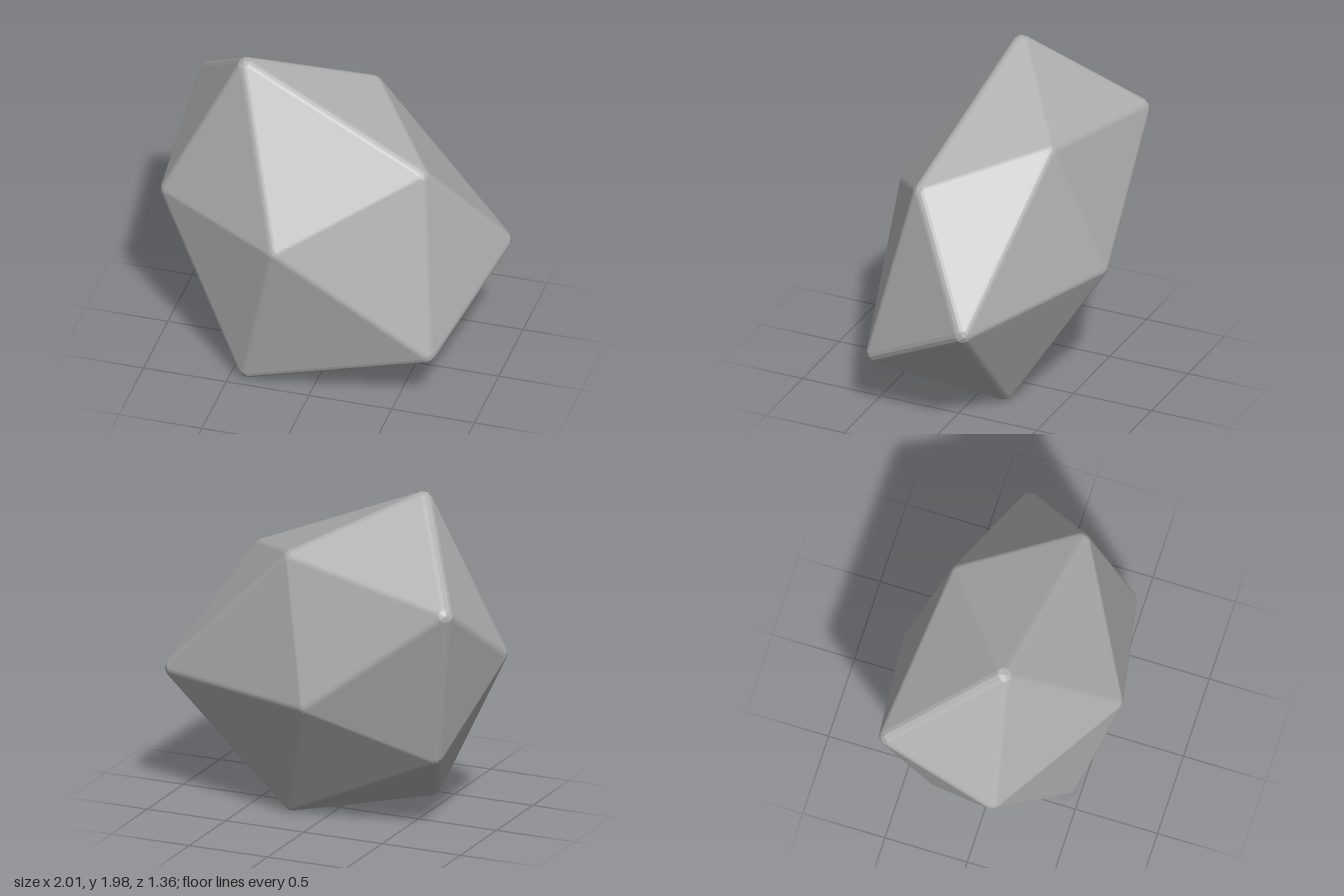
import * as THREE from 'three';
import { ConvexGeometry } from 'three/addons/geometries/ConvexGeometry.js';

const BEVEL = 0.06;   // radius of the worn edges
const STEPS = 3;      // facets across each worn edge

// Twelve corners of the squashed, irregular twenty-sided stone
const CORNERS = [
  [-0.53, 1.97, 0.07], [0.62, 1.47, 0.22], [0.72, 0.36, 0.48], [-0.41, 0.02, 0.45],
  [-1.0, 1.03, 0.15], [-0.17, 1.05, 0.68], [1.0, 0.78, -0.26], [-0.93, 1.46, -0.55],
  [0.13, 1.65, -0.44], [-0.08, 0.81, -0.68], [-0.76, 0.47, -0.3], [0.24, 0.0, -0.18],
].map((c) => new THREE.Vector3(...c));

// Triangles of the convex hull as corner positions plus outward normal
function hullFaces(points) {
  const pos = new ConvexGeometry(points).attributes.position;
  const faces = [];
  for (let i = 0; i < pos.count; i += 3) {
    const v = [0, 1, 2].map((k) => new THREE.Vector3().fromBufferAttribute(pos, i + k));
    const normal = new THREE.Triangle(...v).getNormal(new THREE.Vector3());
    faces.push({ v, normal });
  }
  return faces;
}

// Hull with every edge rounded into a few narrow flat strips
function bevelledHull(corners) {
  // Pull the corners inwards by the bevel radius
  const inner = corners.map((p) => {
    const out = new THREE.Vector3(p.x, p.y - 0.99, p.z * 2).normalize();
    return p.clone().addScaledVector(out, -BEVEL);
  });
  const faces = hullFaces(inner);
  const points = [];
  // Sweep the normal across each edge shared by two faces
  faces.forEach((a, i) => faces.slice(i + 1).forEach((b) => {
    const shared = a.v.filter((p) => b.v.some((q) => q.distanceTo(p) < 1e-5));
    if (shared.length !== 2) return;
    for (let s = 0; s <= STEPS; s++) {
      const n = a.normal.clone().lerp(b.normal, s / STEPS).normalize();
      shared.forEach((p) => points.push(p.clone().addScaledVector(n, BEVEL)));
    }
  }));
  // Tip of each rounded corner
  inner.forEach((p) => {
    const n = new THREE.Vector3();
    faces.forEach((f) => { if (f.v.some((q) => q.distanceTo(p) < 1e-5)) n.add(f.normal); });
    points.push(p.clone().addScaledVector(n.normalize(), BEVEL));
  });
  return new ConvexGeometry(points);
}

export function createModel() {
  const group = new THREE.Group();
  group.name = 'rock';
  const stoneGrey = new THREE.MeshStandardMaterial({ color: 0xb0b0b0 });
  stoneGrey.name = 'stoneGrey';

  const stone = new THREE.Mesh(bevelledHull(CORNERS), stoneGrey);
  stone.name = 'stone';
  group.add(stone);
  return group;
}
